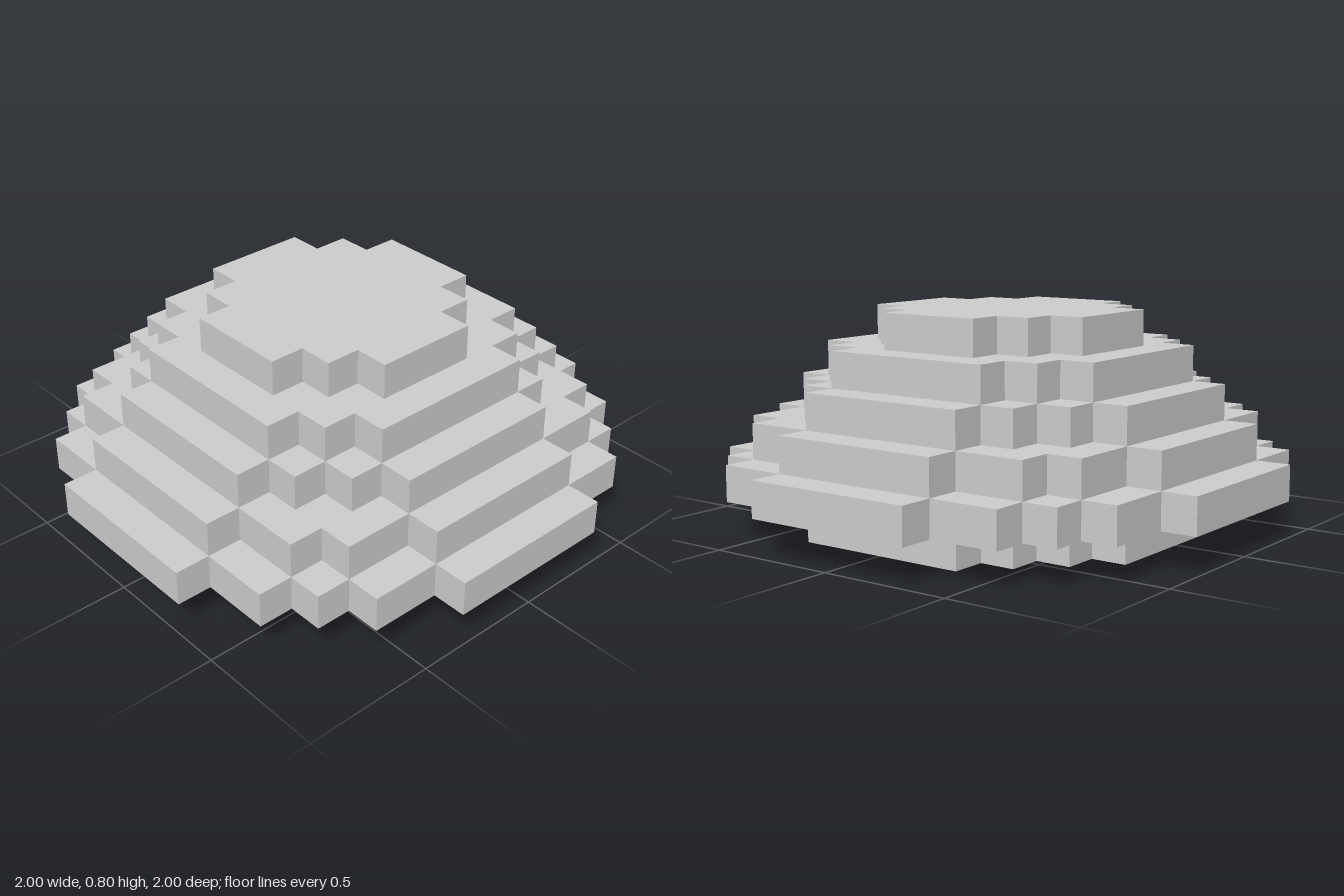
import * as THREE from 'three';

const U = 1 / 15;      // half a block
const H = 2 * U;       // layer height

// Outer corners of one quarter of each layer, from the x side round to the z side, in half blocks
const LAYERS = [
  ['foot', [[11, 5], [9, 7], [7, 9], [5, 11]]],
  ['brim', [[15, 5], [13, 9], [11, 11], [9, 13], [5, 15]]],
  ['lowerTier', [[13, 5], [11, 9], [9, 11], [5, 13]]],
  ['middleTier', [[11, 5], [9, 7], [7, 9], [5, 11]]],
  ['upperTier', [[9, 5], [7, 7], [5, 9]]],
  ['cap', [[7, 3], [5, 5], [3, 7]]],
];

// Stepped outline: outer corners joined by inner corners, turned through four quarters
function steppedShape(corners) {
  const quarter = [];
  corners.forEach(([x, y], i) => {
    quarter.push([x, y]);
    if (i < corners.length - 1) quarter.push([corners[i + 1][0], y]);
  });
  const points = [];
  let turned = quarter;
  for (let q = 0; q < 4; q++) {
    points.push(...turned.map(([x, y]) => new THREE.Vector2(x * U, y * U)));
    turned = turned.map(([x, y]) => [-y, x]);
  }
  return new THREE.Shape(points);
}

export function createModel() {
  const group = new THREE.Group();
  group.name = 'blockDome';
  const material = new THREE.MeshStandardMaterial({ color: 0xcccccc, flatShading: true });

  // Stack of one-block-high layers
  LAYERS.forEach(([name, corners], i) => {
    const geometry = new THREE.ExtrudeGeometry(steppedShape(corners), { depth: H, bevelEnabled: false });
    geometry.rotateX(-Math.PI / 2);
    const mesh = new THREE.Mesh(geometry, material);
    mesh.name = name;
    mesh.position.y = i * H;
    group.add(mesh);
  });
  return group;
}
